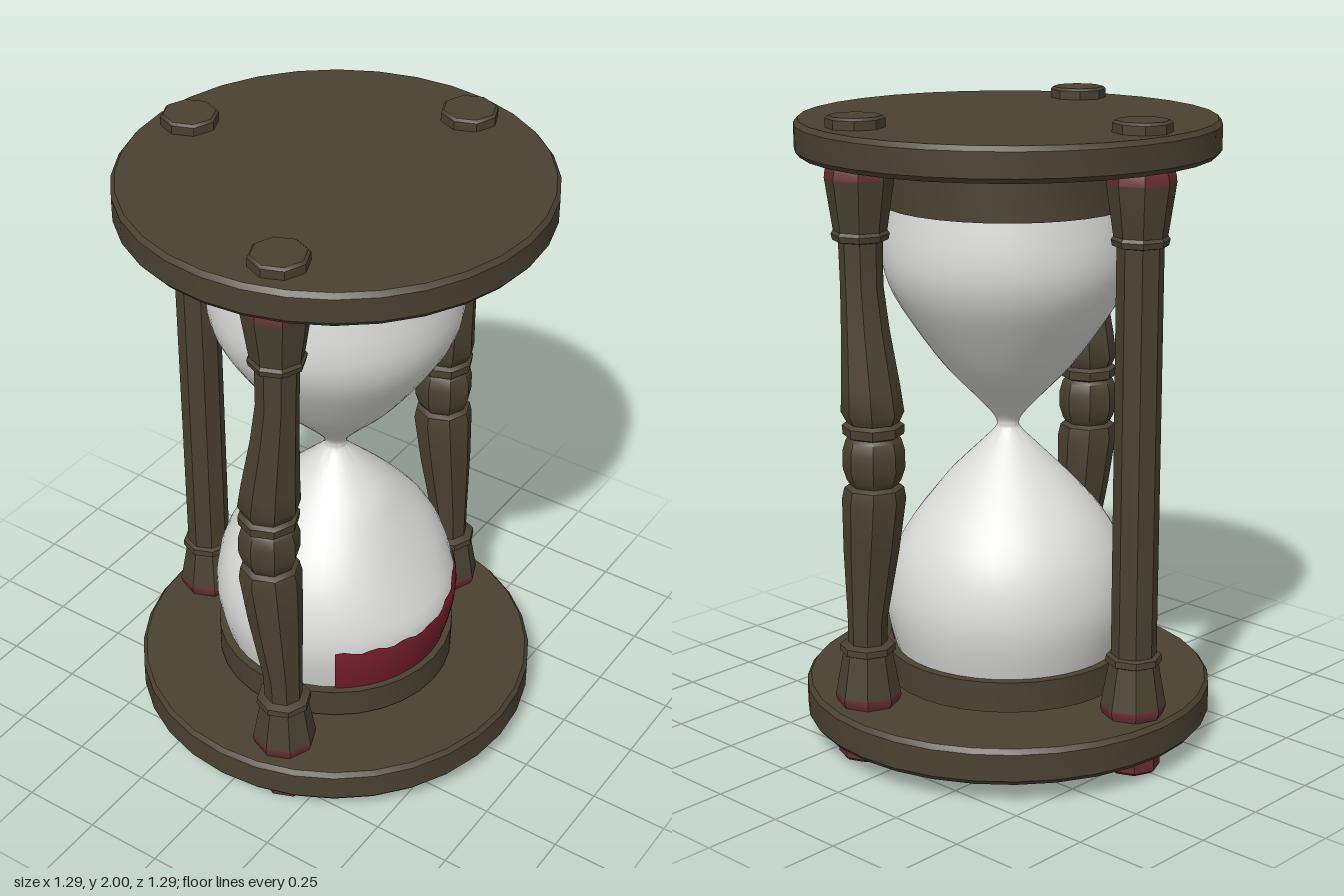
import * as THREE from 'three';
import { toCreasedNormals } from 'three/addons/utils/BufferGeometryUtils.js';

const wood = new THREE.MeshStandardMaterial({ color: 0x4a4231 });
wood.name = 'dark wood';
const glass = new THREE.MeshStandardMaterial({ color: 0xdcdcda, side: THREE.DoubleSide });
glass.name = 'frosted glass';
const sand = new THREE.MeshStandardMaterial({ color: 0x7a1f2f, side: THREE.DoubleSide });
sand.name = 'red sand';
const redWood = new THREE.MeshStandardMaterial({ color: 0x652c30 });
redWood.name = 'red stained wood';

const vectors = (pts) => pts.map(([r, y]) => new THREE.Vector2(r, y));

function mesh(name, geo, mat, crease = 0.6) {
  const m = new THREE.Mesh(toCreasedNormals(geo, crease), mat);
  m.name = name;
  return m;
}

// Turned part from [radius, y] pairs, bottom to top
const turned = (name, pts, sides, mat, crease) =>
  mesh(name, new THREE.LatheGeometry(vectors(pts), sides), mat, crease);

// Move every vertex by a rule
function reshape(geo, rule) {
  const p = geo.attributes.position;
  const v = new THREE.Vector3();
  for (let i = 0; i < p.count; i++) {
    rule(v.fromBufferAttribute(p, i));
    p.setXYZ(i, v.x, v.y, v.z);
  }
  return geo;
}

// Glass outline, smoothed through a few points
const glassOutline = new THREE.SplineCurve(vectors([
  [0.355, 0.27], [0.383, 0.38], [0.39, 0.48], [0.365, 0.6], [0.305, 0.71], [0.21, 0.82],
  [0.11, 0.92], [0.045, 0.985], [0.035, 1.01], [0.05, 1.04], [0.105, 1.1], [0.2, 1.2],
  [0.305, 1.345], [0.37, 1.46], [0.39, 1.57], [0.372, 1.72],
])).getPoints(45);

function glassRadius(y) {
  const i = Math.max(1, glassOutline.findIndex((p) => p.y >= y));
  const a = glassOutline[i - 1], b = glassOutline[i];
  return THREE.MathUtils.lerp(a.x, b.x, (y - a.y) / (b.y - a.y));
}

// Slight dent on the side above the sand
function dent(v) {
  if (v.y > 0.48 && v.y < 0.85 && v.x > 0) {
    const toward = v.x / Math.hypot(v.x, v.z);
    v.x -= 0.045 * Math.sin(Math.PI * (v.y - 0.48) / 0.37) * toward ** 4;
  }
}

// Sand patch wrapped on the glass, with a ragged edge
function sandGeometry() {
  const geo = new THREE.PlaneGeometry(1, 1, 24, 14);
  return reshape(geo, (v) => {
    const u = v.x + 0.5, t = v.y + 0.5;
    const top = 0.46 + 0.075 * Math.max(0, (u - 0.5) / 0.5) + 0.006 * Math.sin(u * 40);
    const y = 0.28 + (top - 0.28) * t;
    const end = 2.36 - 0.09 * t + 0.05 * Math.sin(t * 19);
    const phi = 0.59 + (end - 0.59) * u;
    const r = glassRadius(y) + 0.005;
    v.set(r * Math.sin(phi), y, r * Math.cos(phi));
    dent(v);
  });
}

// Post with pegs, flared caps and either a plain or a turned shaft
function createPost(name, x, z, plain) {
  const post = new THREE.Group();
  post.name = name;
  post.position.set(x, 0, z);
  post.add(
    turned('lowerPeg', [[0, 0], [0.075, 0], [0.086, 0.01], [0.086, 0.08], [0, 0.08]], 8, redWood),
    turned('footBase', [[0, 0.175], [0.092, 0.175], [0.102, 0.2], [0.1, 0.212]], 8, redWood),
    turned('foot', [[0.1, 0.212], [0.076, 0.345], [0.087, 0.35], [0.085, 0.37], [0.055, 0.38]], 8, wood),
    turned('head', [[0.055, 1.63], [0.083, 1.637], [0.087, 1.655], [0.08, 1.665], [0.103, 1.82]], 8, wood),
    turned('headTop', [[0.103, 1.82], [0.1, 1.845], [0.09, 1.868], [0, 1.868]], 8, redWood),
    turned('upperPeg', [[0, 1.95], [0.088, 1.95], [0.088, 1.992], [0.08, 2], [0, 2]], 8, wood),
  );
  for (const part of post.children) {
    if (!plain && part.name.endsWith('Peg')) part.position.x = 0.013;
  }
  if (plain) {
    post.add(turned('plainShaft', [[0.07, 0.36], [0.07, 1.645]], 8, wood));
  } else {
    // Shaft bows inward around the middle bead
    const profile = [
      [0.06, 0.36], [0.062, 0.46], [0.085, 0.68], [0.097, 0.85], [0.09, 0.885], [0.074, 0.895],
      [0.083, 0.91], [0.094, 0.945], [0.094, 1.0], [0.084, 1.035], [0.076, 1.045],
      [0.092, 1.052], [0.094, 1.08], [0.08, 1.09], [0.095, 1.12], [0.088, 1.2],
      [0.072, 1.37], [0.064, 1.5], [0.066, 1.645],
    ];
    const geo = new THREE.LatheGeometry(vectors(profile), 8);
    reshape(geo, (v) => {
      const d = Math.min(1, Math.abs(v.y - 0.98) / 0.6);
      v.x -= 0.042 * (1 - THREE.MathUtils.smoothstep(d, 0.1, 1));
    });
    post.add(mesh('turnedShaft', geo, wood, 0.7));
  }
  return post;
}

export function createModel() {
  const model = new THREE.Group();
  model.name = 'hourglass';

  // End discs
  const disc = (name, y0, y1) => turned(name, [
    [0, y0], [0.635, y0], [0.647, y0 + 0.015], [0.647, y1 - 0.015], [0.635, y1], [0, y1],
  ], 32, wood);
  model.add(disc('bottomDisc', 0.065, 0.18), disc('topDisc', 1.86, 1.965));

  // Collars that hold the glass
  const collar = (name, y0, y1) =>
    turned(name, [[0, y0], [0.387, y0], [0.387, y1], [0, y1]], 32, wood);
  model.add(collar('bottomCollar', 0.19, 0.287), collar('topCollar', 1.705, 1.865));

  // Glass bulbs and sand
  const bulbs = reshape(new THREE.LatheGeometry(glassOutline, 40), dent);
  model.add(mesh('glassBulbs', bulbs, glass, 1.2));
  model.add(mesh('sandPatch', sandGeometry(), sand, 1.2));

  // Three posts
  model.add(
    createPost('leftSidePost', -0.525, 0, true),
    createPost('frontPost', 0.136, 0.49, false),
    createPost('backPost', 0.136, -0.49, false),
  );
  return model;
}
